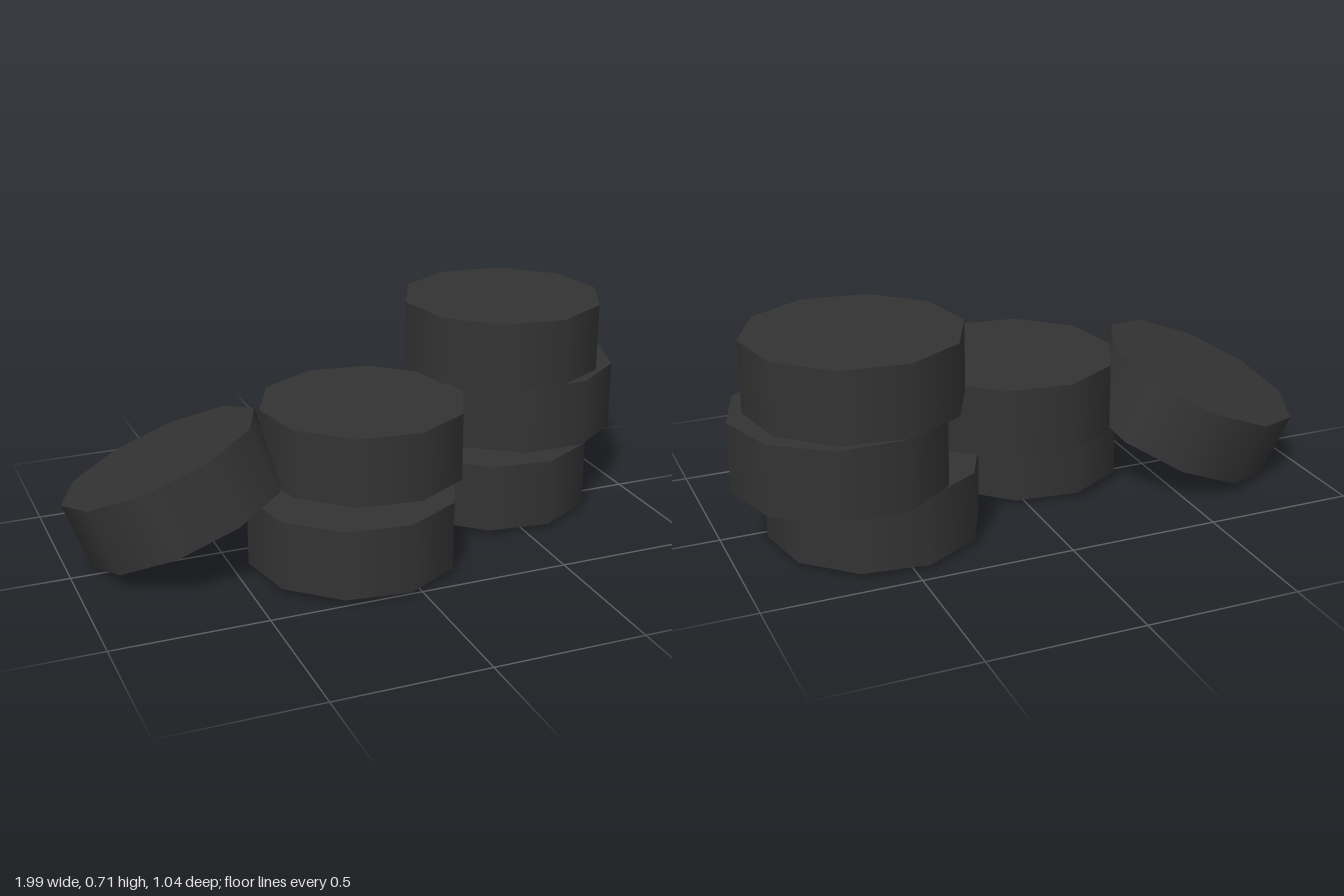
import * as THREE from 'three';

const RADIUS = 0.345, HEIGHT = 0.23, SIDES = 10;

export function createModel() {
  const model = new THREE.Group();
  model.name = 'discPile';

  const rubber = new THREE.MeshStandardMaterial({ color: 0x333333, side: THREE.DoubleSide });
  rubber.name = 'charcoal';

  // Closed ten-sided disc with smooth walls
  const closedDisc = new THREE.CylinderGeometry(RADIUS, RADIUS, HEIGHT, SIDES);

  // Disc without an underside: a wall and a top cap
  const wall = new THREE.CylinderGeometry(RADIUS, RADIUS, HEIGHT, SIDES, 1, true);
  const cap = new THREE.CircleGeometry(RADIUS, SIDES)
    .rotateX(-Math.PI / 2)
    .rotateY(Math.PI / 2)
    .translate(0, HEIGHT / 2, 0);

  function addDisc(name, x, y, z, spin, open = false) {
    const disc = new THREE.Group();
    disc.name = name;
    for (const geometry of open ? [wall, cap] : [closedDisc]) {
      const mesh = new THREE.Mesh(geometry, rubber);
      mesh.name = geometry === cap ? 'topCap' : geometry === wall ? 'wall' : 'disc';
      disc.add(mesh);
    }
    disc.position.set(x, y, z);
    disc.rotation.y = THREE.MathUtils.degToRad(spin);
    model.add(disc);
    return disc;
  }

  // Bottom layer, open underneath
  addDisc('bottomFrontDisc', -0.109, 0.133, 0.181, 10.9, true);
  addDisc('bottomBackDisc', 0.519, 0.133, -0.106, 10.9, true);

  // Middle layer
  addDisc('middleDisc', -0.011, 0.363, 0.028, 11);
  addDisc('middleBackDisc', 0.649, 0.363, -0.19, 18);

  // Top of the stack
  addDisc('topDisc', 0.592, 0.596, -0.183, 10.7);

  // Disc leaning against the pile
  const leaning = addDisc('leaningDisc', -0.638, 0.241, -0.045, 14.5);
  const axis = new THREE.Vector3(-0.345, 0.915, -0.185).normalize();
  const tilt = new THREE.Quaternion().setFromUnitVectors(new THREE.Vector3(0, 1, 0), axis);
  leaning.quaternion.premultiply(tilt);

  return model;
}
